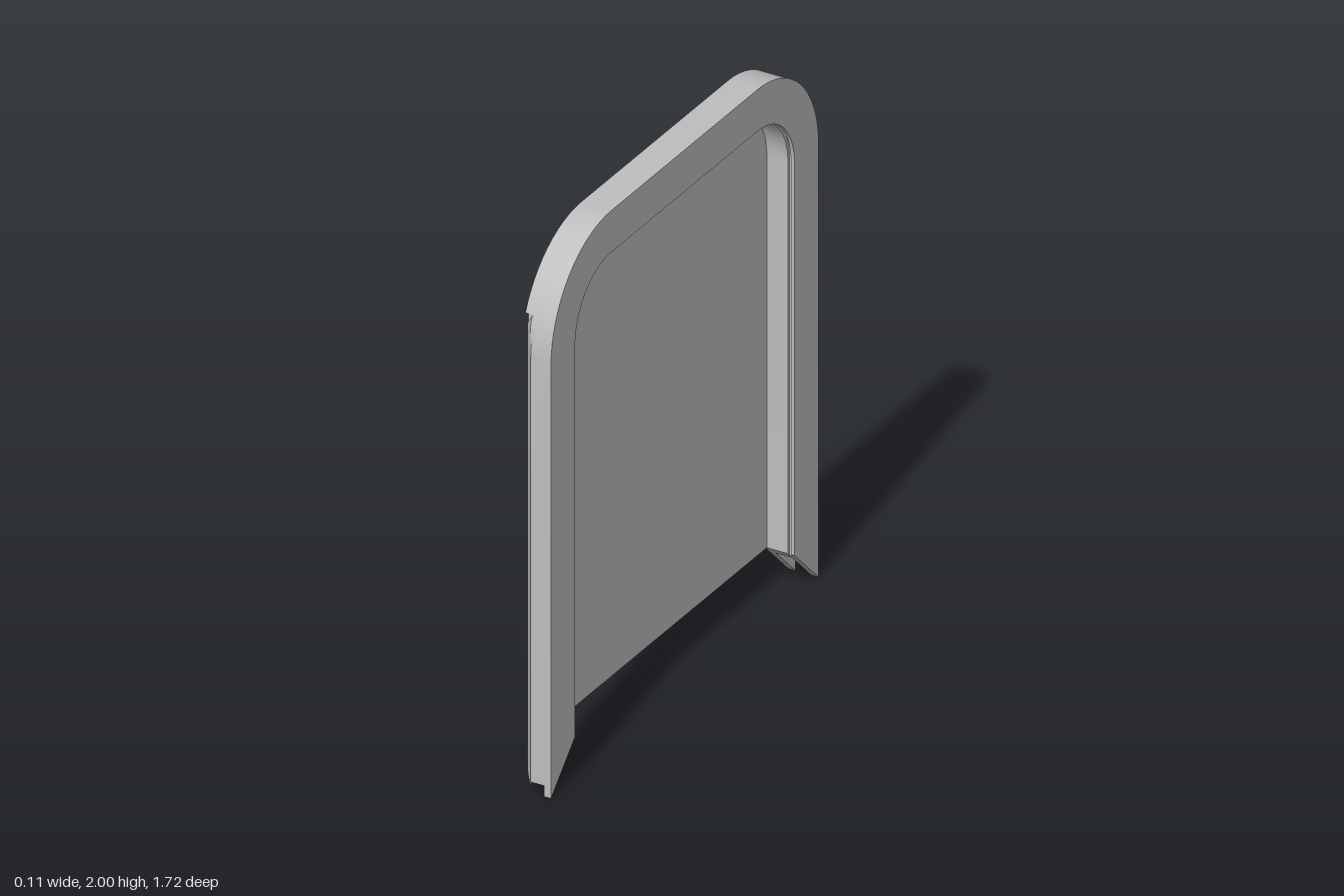
import * as THREE from 'three';
import { mergeGeometries, toCreasedNormals } from 'three/addons/utils/BufferGeometryUtils.js';

const BACK = -0.057, SHEET = -0.047, FRONT = 0.057;  // x of back face, panel face, front face
const SLOT = 0.03, SLOT_END = 0.735;                 // half width and inner end of the mitre slot
const HALF = 0.86, INNER = 0.705, STEPS = 16;
const LIP = 0.012;                                   // depth of the groove behind the front lip

// The front edge is bevelled toward the back, below the upper corner
const bevel = (x) => Math.min(HALF, 0.815 + (x - BACK) * 1.2);

// Round-cornered arch as [z, y] points, from +z foot over to -z foot
function arch(w, limit = w, lift = 0) {
  const r = w - 0.47, pts = [[limit, HALF - limit + lift]];
  for (let i = 0; i <= STEPS; i++) {
    const a = i / STEPS * Math.PI / 2;
    const z = 0.47 + r * Math.cos(a), y = 1.61 + r * Math.sin(a);
    if (i <= 4) pts.push([Math.min(z, limit), y]);
    if (i >= 4) pts.push([z, y]);
  }
  for (let i = STEPS; i >= 0; i--) {
    const a = i / STEPS * Math.PI / 2;
    pts.push([-0.47 - r * Math.cos(a), 1.61 + r * Math.sin(a)]);
  }
  pts.push([-w, HALF - w + lift]);
  return pts;
}

// Frame outline at a given x, with optional slotted feet and widened opening
function frameOutline(x, slotted, grow = 0) {
  const foot = slotted
    ? [[SLOT_END, HALF - SLOT_END + 0.04], [SLOT_END, HALF - SLOT_END]] : [];
  return [
    ...arch(HALF, bevel(x), slotted ? 0.04 : 0),
    ...foot.map(([z, y]) => [-z, y]),
    ...arch(INNER + grow).reverse(),
    ...foot.slice().reverse(),
  ];
}

// Quarter-round cutout in the lower front corner of the panel
function cutout() {
  const pts = [];
  for (let i = 0; i <= 10; i++) {
    const a = Math.PI - i / 10 * Math.PI / 2;
    pts.push([INNER + 0.095 * Math.cos(a), 0.155 + 0.095 * Math.sin(a)]);
  }
  return [...pts, [INNER, 0.155]];
}

// Walls between two matching outlines
function walls(a, x0, b, x1) {
  const pos = [], n = a.length;
  for (let i = 0; i < n; i++) {
    const j = (i + 1) % n;
    const p = [x0, a[i][1], a[i][0]], q = [x1, b[i][1], b[i][0]];
    const r = [x1, b[j][1], b[j][0]], s = [x0, a[j][1], a[j][0]];
    pos.push(...p, ...q, ...r, ...p, ...r, ...s);
  }
  const g = new THREE.BufferGeometry();
  g.setAttribute('position', new THREE.Float32BufferAttribute(pos, 3));
  g.computeVertexNormals();
  return g;
}

// Flat face at x, facing +x or -x
function cap(pts, x, facing, holes = []) {
  const v = (list) => list.map(([z, y]) => new THREE.Vector2(-facing * z, y));
  const shape = new THREE.Shape(v(pts));
  shape.holes = holes.map((h) => new THREE.Path(v(h)));
  const g = new THREE.ShapeGeometry(shape).toNonIndexed();
  g.deleteAttribute('uv');
  return g.rotateY(facing * Math.PI / 2).translate(x, 0, 0);
}

const circle = (z, y, r) => Array.from({ length: 12 }, (_, i) => {
  const a = i / 12 * Math.PI * 2;
  return [z + r * Math.cos(a), y + r * Math.sin(a)];
});

export function createModel() {
  const group = new THREE.Group();
  const grey = new THREE.MeshStandardMaterial({ color: 0xbfbfbf, side: THREE.DoubleSide });
  grey.name = 'grey';
  const add = (name, parts) => {
    const mesh = new THREE.Mesh(toCreasedNormals(mergeGeometries(parts), 0.5), grey);
    mesh.name = name;
    group.add(mesh);
  };

  // Back panel: thin sheet with corner cutout and screw holes
  const sheet = (x) => [...arch(HALF, bevel(x)), [-INNER, 0.155], ...cutout()];
  const holes = [0.46, 0.585, 1.38, 1.51].map((y) => circle(0.78, y, 0.009));
  add('backPanel', [
    cap(sheet(BACK), BACK, -1, holes),
    walls(sheet(BACK), BACK, sheet(SHEET), SHEET),
    cap([...arch(INNER), ...cutout()], SHEET, 1),
  ]);

  // Screw holes: short blind bores
  add('screwHoles', holes.flatMap((h) => {
    const inside = h.slice().reverse();
    return [walls(inside, BACK, inside, BACK + 0.03), cap(h, BACK + 0.03, -1)];
  }));

  // Frame: slabs stacked along x, with bevel, foot slots and a groove behind the lip
  const slabs = [
    [SHEET, -SLOT, false, 0],
    [-SLOT, -0.0195, true, 0],
    [-0.0195, SLOT, true, 0],
    [SLOT, 0.032, false, 0],
    [0.032, 0.044, false, LIP],
    [0.044, FRONT, false, 0],
  ];
  const frame = slabs.map(([x0, x1, slot, grow]) =>
    walls(frameOutline(x0, slot, grow), x0, frameOutline(x1, slot, grow), x1));
  frame.push(cap(frameOutline(FRONT, false), FRONT, 1));

  // Groove sides
  const ring = [...arch(INNER + LIP), ...arch(INNER).reverse()];
  frame.push(cap(ring, 0.032, 1), cap(ring, 0.044, -1));

  // Slot sides in both mitred feet
  for (const side of [1, -1]) {
    for (const facing of [1, -1]) {
      const x = -facing * SLOT, edge = side > 0 ? bevel(x) : HALF;
      const strip = [
        [edge, HALF - edge], [edge, HALF - edge + 0.04],
        [SLOT_END, HALF - SLOT_END + 0.04], [SLOT_END, HALF - SLOT_END],
      ];
      frame.push(cap(strip.map(([z, y]) => [side * z, y]), x, facing));
    }
  }
  add('frame', frame);
  return group;
}
